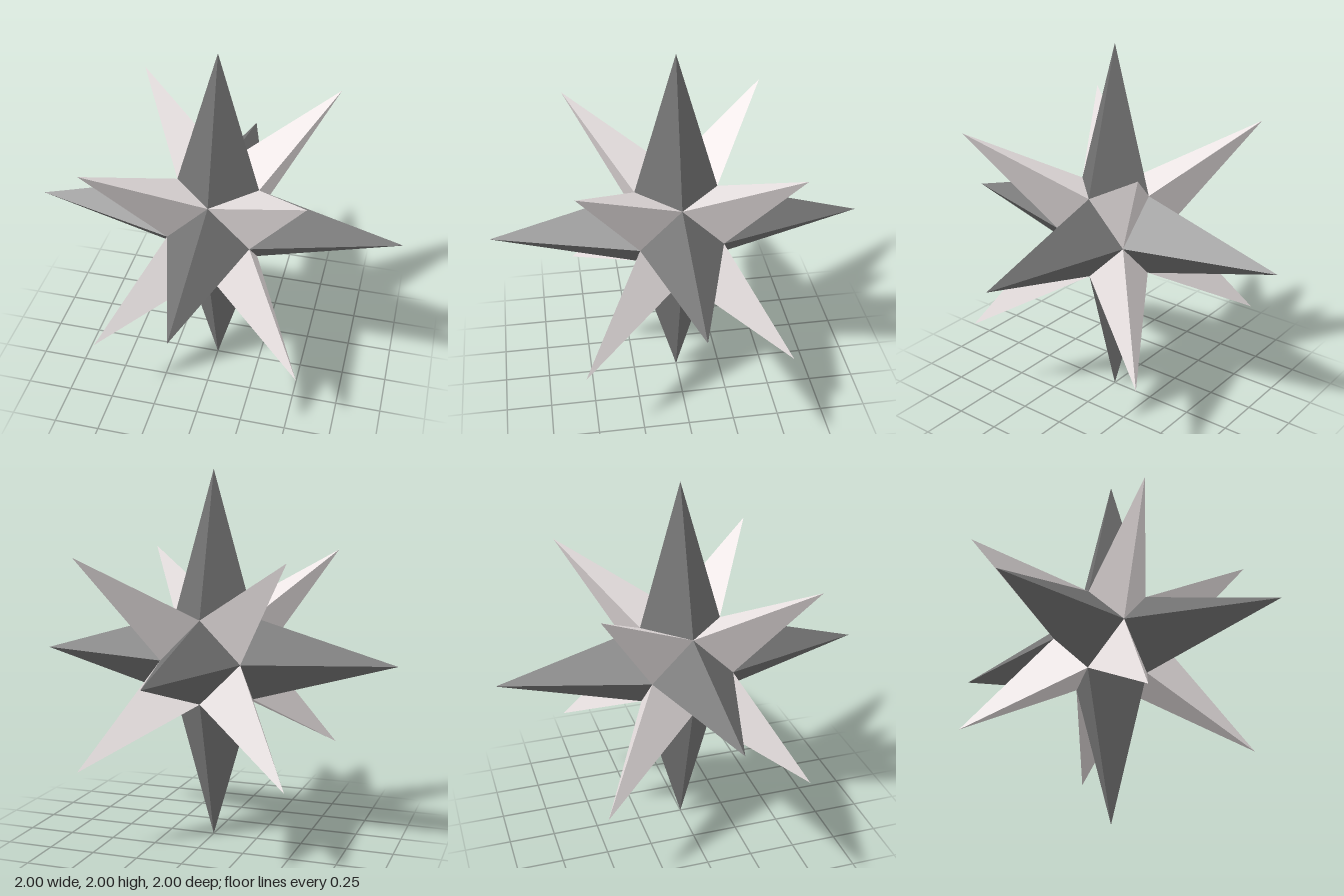
import * as THREE from 'three';

const CORE = 0.2225; // cuboctahedron core: corners at (±CORE, ±CORE, 0) and permutations
const DIAG = 0.556;  // coordinate of each diagonal tip

// Open pyramid whose axis runs along dir; its first base corner points along corner.
function spike(name, sides, radius, base, tip, dir, corner, material) {
  const geometry = new THREE.ConeGeometry(radius, tip - base, sides, 1, true);
  geometry.translate(0, (base + tip) / 2, 0);
  const y = dir.clone().normalize();
  const z = corner.clone().normalize();
  const x = new THREE.Vector3().crossVectors(y, z);
  geometry.applyMatrix4(new THREE.Matrix4().makeBasis(x, y, z));
  const mesh = new THREE.Mesh(geometry, material);
  mesh.name = name;
  return mesh;
}

export function createModel() {
  const model = new THREE.Group();
  model.name = 'star';
  const dark = new THREE.MeshStandardMaterial({ color: 0x737373, flatShading: true });
  const light = new THREE.MeshStandardMaterial({ color: 0xebe4e4, flatShading: true });

  // Six long four-sided spikes along the axes
  const axes = [new THREE.Vector3(1, 0, 0), new THREE.Vector3(0, 1, 0), new THREE.Vector3(0, 0, 1)];
  const axisSpikes = new THREE.Group();
  axisSpikes.name = 'axisSpikes';
  axes.forEach((axis, i) => {
    for (const s of [1, -1]) {
      const dir = axis.clone().multiplyScalar(s);
      axisSpikes.add(spike('axisSpike', 4, CORE, CORE, 1, dir, axes[(i + 1) % 3], dark));
    }
  });

  // Eight shorter three-sided spikes towards the cube corners
  const diagonalSpikes = new THREE.Group();
  diagonalSpikes.name = 'diagonalSpikes';
  const radius = CORE * Math.sqrt(2 / 3);
  const base = (2 * CORE) / Math.sqrt(3);
  for (const sx of [1, -1]) for (const sy of [1, -1]) for (const sz of [1, -1]) {
    const dir = new THREE.Vector3(sx, sy, sz);
    const corner = new THREE.Vector3(sx, sy, -2 * sz);
    diagonalSpikes.add(spike('diagonalSpike', 3, radius, base, DIAG * Math.sqrt(3), dir, corner, light));
  }

  model.add(axisSpikes, diagonalSpikes);
  model.children.forEach((part) => { part.position.y = 1; });
  return model;
}
